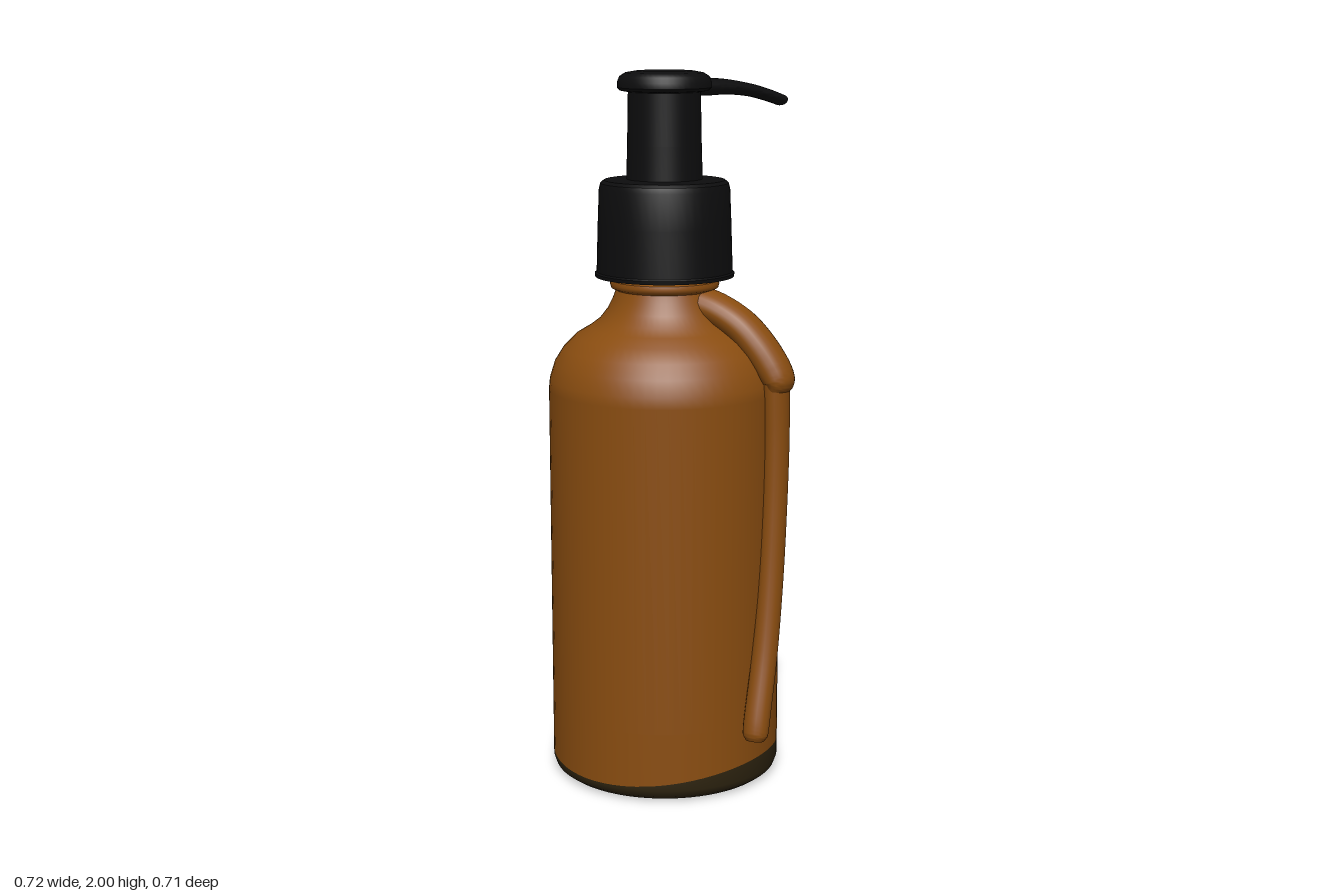
import * as THREE from 'three';
import { toCreasedNormals } from 'three/addons/utils/BufferGeometryUtils.js';

const AX = -0.037, AZ = 0.025; // bottle axis

const material = (name, color) => {
  const m = new THREE.MeshStandardMaterial({ color });
  m.name = name;
  return m;
};

// Surface of revolution from [radius, height] pairs
const lathe = (profile, segments = 64) =>
  new THREE.LatheGeometry(profile.map(([r, y]) => new THREE.Vector2(r, y)), segments);

// Elliptical sweep; each station is [x, y, z, halfWidth, halfThickness]
function sweep(stations, sideRef, steps = 48, sides = 20) {
  const path = new THREE.CatmullRomCurve3(stations.map(s => new THREE.Vector3(s[0], s[1], s[2])));
  const size = new THREE.CatmullRomCurve3(stations.map(s => new THREE.Vector3(s[3], s[4], 0)));
  const pos = [], idx = [];
  for (let i = 0; i <= steps; i++) {
    const t = i / steps, p = path.getPoint(t), s = size.getPoint(t), T = path.getTangent(t);
    const side = sideRef.clone().addScaledVector(T, -sideRef.dot(T)).normalize();
    const up = T.clone().cross(side);
    for (let j = 0; j < sides; j++) {
      const a = j / sides * Math.PI * 2;
      const v = p.clone().addScaledVector(side, Math.cos(a) * s.x).addScaledVector(up, Math.sin(a) * s.y);
      pos.push(v.x, v.y, v.z);
    }
  }
  const first = pos.length / 3, last = first + 1;
  pos.push(...path.getPoint(0).toArray(), ...path.getPoint(1).toArray());
  for (let j = 0; j < sides; j++) {
    const k = (j + 1) % sides, e = steps * sides;
    for (let i = 0; i < steps; i++) {
      const a = i * sides, b = a + sides;
      idx.push(a + j, a + k, b + j, a + k, b + k, b + j);
    }
    idx.push(first, k, j, last, e + j, e + k);
  }
  const g = new THREE.BufferGeometry();
  g.setAttribute('position', new THREE.Float32BufferAttribute(pos, 3));
  g.setIndex(idx);
  return toCreasedNormals(g, 0.7);
}

// Wavy line where the dark base meets the body
function waveRing(geometry, ringY) {
  const p = geometry.attributes.position;
  for (let i = 0; i < p.count; i++) {
    if (Math.abs(p.getY(i) - ringY) > 1e-4) continue;
    const a = Math.atan2(p.getZ(i), p.getX(i));
    p.setY(i, 0.055 + 0.015 * Math.cos(a) + 0.015 * Math.cos(2 * a));
  }
  return geometry;
}

export function createModel() {
  const amber = material('amber', 0x8a4d10);
  const black = material('black', 0x0d0d0e);
  const darkBase = material('dark base', 0x2e2410);
  const model = new THREE.Group();
  model.name = 'pumpBottle';

  const add = (name, geometry, mat, onAxis = true) => {
    const mesh = new THREE.Mesh(geometry, mat);
    mesh.name = name;
    if (onAxis) mesh.position.set(AX, 0, AZ);
    model.add(mesh);
  };

  // Body, shoulder and neck
  add('body', waveRing(lathe([
    [0.327, 0.06], [0.327, 0.2], [0.327, 1.12], [0.324, 1.15], [0.31, 1.195], [0.285, 1.235],
    [0.25, 1.27], [0.212, 1.293], [0.183, 1.315], [0.16, 1.345], [0.145, 1.375], [0.136, 1.4],
  ]), 0.06), amber);
  add('neckRing', toCreasedNormals(lathe([
    [0.13, 1.395], [0.15, 1.405], [0.153, 1.415], [0.15, 1.425], [0.135, 1.43], [0.135, 1.46],
  ]), 0.9), amber);

  // Dark underside
  add('base', toCreasedNormals(waveRing(lathe([
    [0, 0], [0.285, 0], [0.305, 0.004], [0.32, 0.015], [0.327, 0.034], [0.327, 0.06],
  ]), 0.06), 0.9), darkBase);

  // Threaded collar
  add('collar', toCreasedNormals(lathe([
    [0.13, 1.445], [0.17, 1.436], [0.194, 1.436], [0.195, 1.446], [0.19, 1.45], [0.186, 1.58],
    [0.182, 1.68], [0.178, 1.695], [0.168, 1.703], [0.1, 1.706], [0, 1.706],
  ], 48), 0.6), black);

  // Pump stem and pressing head
  add('stem', lathe([[0.106, 1.7], [0.103, 1.8], [0.1, 1.96]], 48), black);
  add('head', toCreasedNormals(lathe([
    [0, 1.943], [0.1, 1.943], [0.123, 1.947], [0.13, 1.955], [0.13, 1.97],
    [0.124, 1.985], [0.108, 1.995], [0.08, 2], [0, 2],
  ], 48), 0.7), black);

  // Spout: stations are distance from the axis, height and half sizes
  const dir = new THREE.Vector2(0.46, -0.888);
  add('spout', sweep([
    [0.05, 1.956, 0.042, 0.026], [0.14, 1.953, 0.04, 0.025], [0.22, 1.95, 0.037, 0.021],
    [0.3, 1.939, 0.035, 0.018], [0.365, 1.923, 0.034, 0.017], [0.413, 1.908, 0.033, 0.016],
  ].map(([d, y, w, t]) => [AX + dir.x * d, y, AZ + dir.y * d, w, t]),
  new THREE.Vector3(0.888, 0, 0.46)), black, false);

  // Broad arm over the shoulder
  const zAxis = new THREE.Vector3(0, 0, 1);
  add('shoulderArm', sweep([
    [0.05, 1.375, 0.025, 0.064, 0.045], [0.13, 1.35, 0.025, 0.063, 0.045],
    [0.2, 1.31, 0.025, 0.062, 0.046], [0.255, 1.255, 0.025, 0.06, 0.047],
    [0.295, 1.2, 0.025, 0.058, 0.047], [0.314, 1.165, 0.026, 0.055, 0.042],
    [0.312, 1.14, 0.027, 0.044, 0.03],
  ], zAxis), amber, false);

  // Slender tail curving down the side
  add('tail', sweep([
    [0.306, 1.18, 0.026, 0.046, 0.036], [0.308, 1.0, 0.025, 0.042, 0.035],
    [0.308, 0.8, 0.036, 0.038, 0.035], [0.308, 0.6, 0.057, 0.037, 0.035],
    [0.308, 0.4, 0.094, 0.036, 0.036], [0.308, 0.22, 0.145, 0.036, 0.037],
    [0.308, 0.18, 0.155, 0.034, 0.036], [0.308, 0.163, 0.158, 0.024, 0.026],
  ], zAxis), amber, false);

  return model;
}
